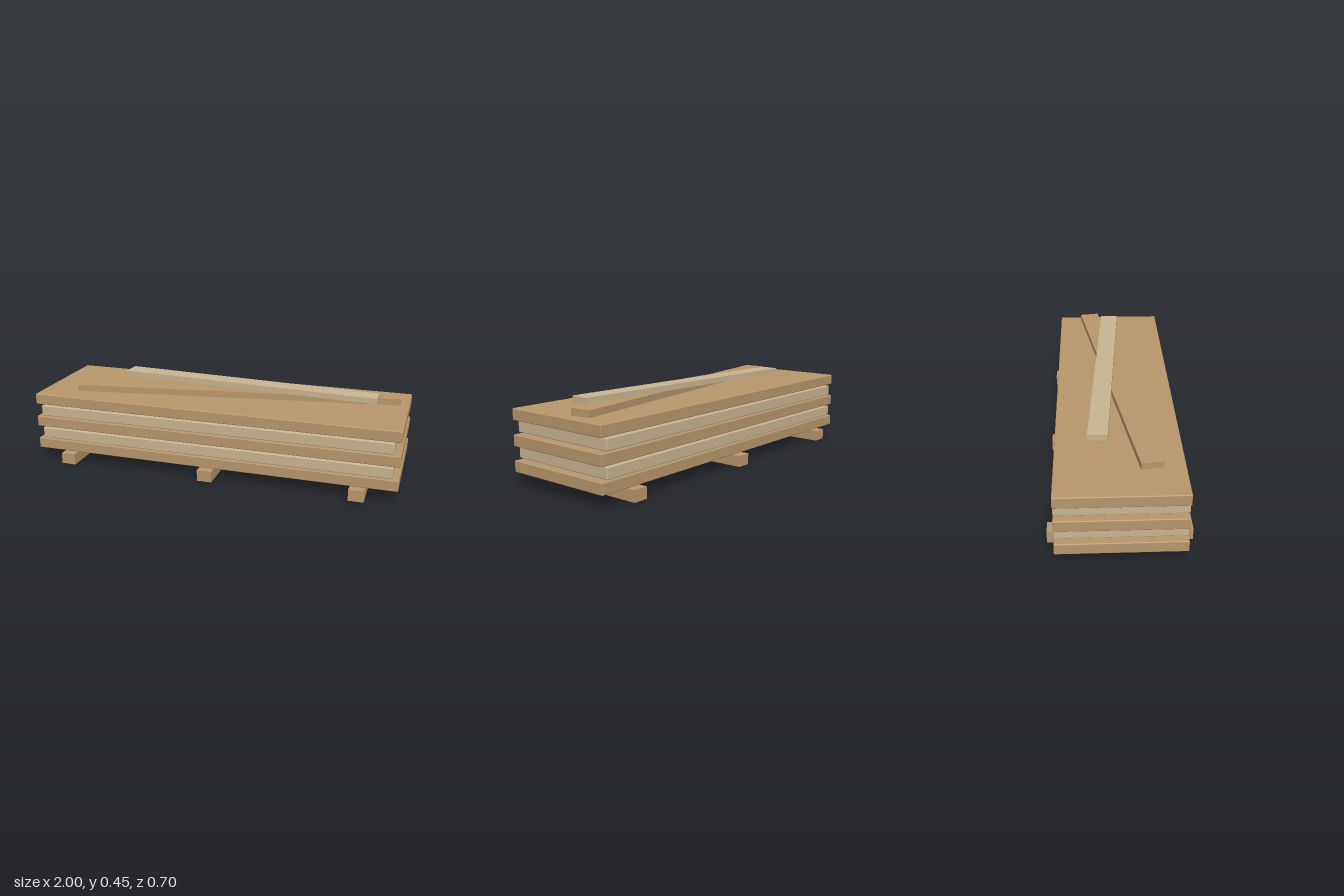
import * as THREE from 'three';
import { RoundedBoxGeometry } from 'three/addons/geometries/RoundedBoxGeometry.js';

export function createModel() {
  const group = new THREE.Group();
  const tan = new THREE.MeshStandardMaterial({ color: 0xb8966c });
  tan.name = 'tan wood';
  const pale = new THREE.MeshStandardMaterial({ color: 0xc8b48f });
  pale.name = 'pale wood';

  const add = (name, geometry, material, x, y, z, turn = 0) => {
    const mesh = new THREE.Mesh(geometry, material);
    mesh.name = name;
    mesh.position.set(x, y, z);
    mesh.rotation.y = turn;
    group.add(mesh);
  };

  // Three bearers across the bottom
  for (const x of [-0.8, 0, 0.8]) {
    add('bearer', new THREE.BoxGeometry(0.08, 0.06, 0.7), tan, x, 0.03, 0);
  }

  // Five stacked slabs with eased edges; every second one is paler and shorter
  for (let i = 0; i < 5; i++) {
    const odd = i % 2 === 1;
    const geometry = new RoundedBoxGeometry(odd ? 1.935 : 2, 0.059, 0.62, 2, 0.005);
    add('slab', geometry, odd ? pale : tan, 0, 0.091 + i * 0.065, 0);
  }

  // Two loose planks crossed on top
  add('lowerLoosePlank', new THREE.BoxGeometry(1.77, 0.035, 0.11), tan, 0.075, 0.4035, 0.012, 0.157);
  add('upperLoosePlank', new THREE.BoxGeometry(1.45, 0.03, 0.1), pale, 0.122, 0.435, -0.05, -0.07);

  return group;
}
